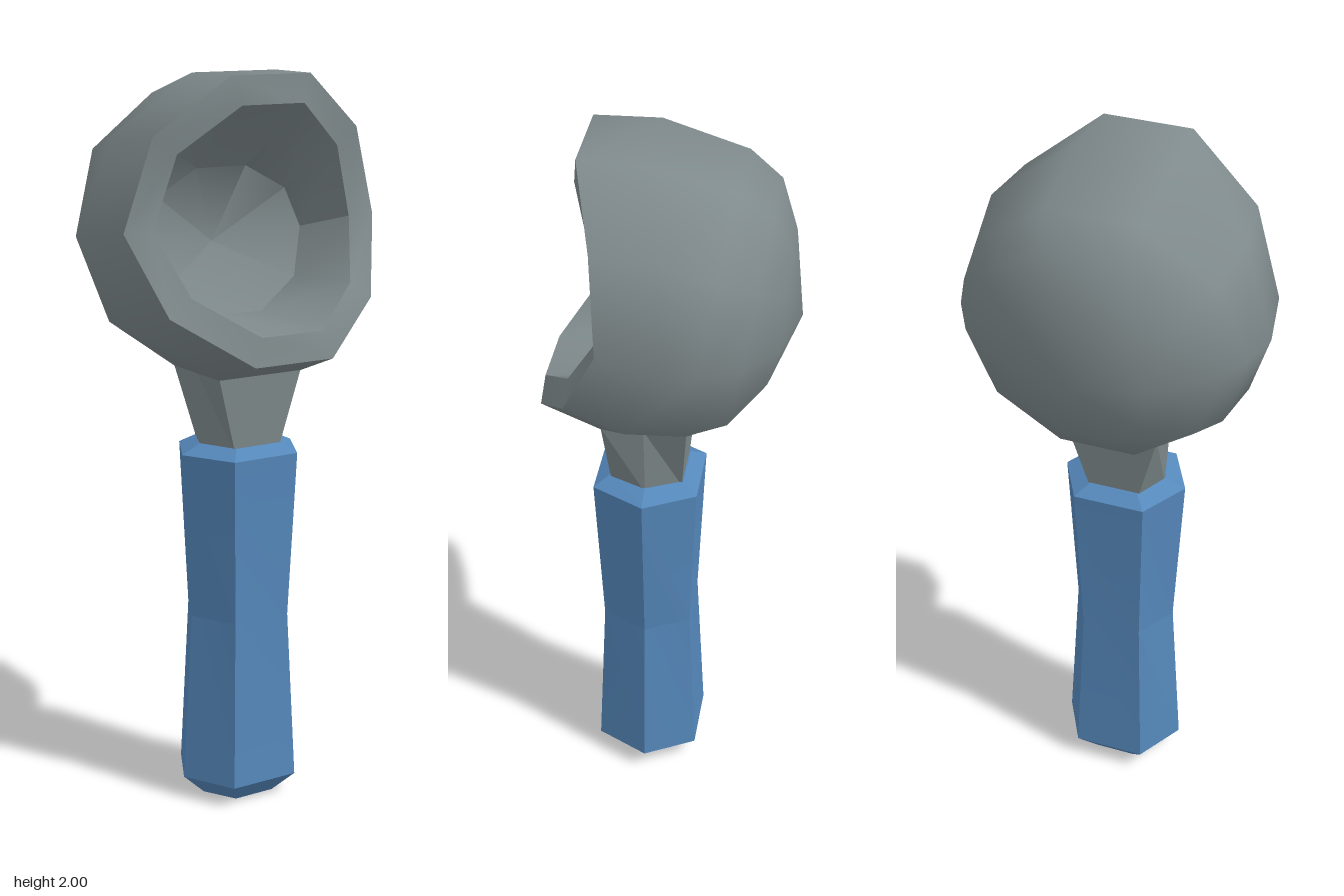
import * as THREE from 'three';
import { toCreasedNormals } from 'three/addons/utils/BufferGeometryUtils.js';

// Skin between rings of equal length; edges sharper than `crease` stay hard
function loft(rings, crease, capStart = false, capEnd = false) {
  const n = rings[0].length, idx = [];
  for (let j = 0; j < rings.length - 1; j++) {
    for (let i = 0; i < n; i++) {
      const a = j * n + i, b = j * n + (i + 1) % n, d = a + n, c = b + n;
      idx.push(a, b, d, b, c, d);
    }
  }
  const last = (rings.length - 1) * n;
  for (let i = 1; i < n - 1; i++) {
    if (capStart) idx.push(0, i + 1, i);
    if (capEnd) idx.push(last, last + i, last + i + 1);
  }
  const geo = new THREE.BufferGeometry();
  geo.setAttribute('position', new THREE.Float32BufferAttribute(rings.flat(2), 3));
  geo.setIndex(idx);
  return toCreasedNormals(geo, crease);
}

// Ten-sided bowl ring: half width, heights and depths at middle, top and bottom
function bowlRing(w, yMid, yTop, yBot, zMid, zTop, zBot, pTop = 1, pBot = 1) {
  const pts = [];
  for (let i = 0; i < 10; i++) {
    const a = i * Math.PI / 5;
    const s = Math.sin(a) / Math.sin(Math.PI * 0.4), t = Math.abs(s);
    const up = s > 0;
    pts.push([
      w * Math.cos(a),
      yMid + ((up ? yTop : yBot) - yMid) * t,
      zMid + ((up ? zTop : zBot) - zMid) * Math.pow(t, up ? pTop : pBot),
    ]);
  }
  return pts;
}
const pole = (y, z) => Array.from({ length: 10 }, () => [0, y, z]);

// Six-sided handle ring around the line z = 0.06
function hexRing(y, front, side, zFront, zBack, sideZ = 0.06) {
  return [[-front, y, zFront], [front, y, zFront], [side, y, sideZ],
    [front, y, zBack], [-front, y, zBack], [-side, y, sideZ]];
}

export function createModel() {
  const metal = new THREE.MeshStandardMaterial({ color: 0x7f8a8c });
  metal.name = 'greyMetal';
  const grip = new THREE.MeshStandardMaterial({ color: 0x5588bb });
  grip.name = 'blueGrip';

  const model = new THREE.Group();
  model.name = 'scoop';
  const add = (name, geo, mat) => {
    const mesh = new THREE.Mesh(geo, mat);
    mesh.name = name;
    model.add(mesh);
  };

  // Bowl: rounded shell, swept-back rim, hollow inside
  const rimOuter = bowlRing(0.39, 1.61, 2.0, 1.27, 0.135, 0.22, 0.335, 2.8, 1.45);
  const rimInner = bowlRing(0.307, 1.61, 1.925, 1.345, 0.14, 0.23, 0.325, 2.8, 1.45);
  add('bowlShell', loft([
    pole(1.535, -0.338),
    bowlRing(0.185, 1.545, 1.755, 1.33, -0.3, -0.31, -0.245),
    bowlRing(0.335, 1.565, 1.87, 1.24, -0.215, -0.265, -0.16),
    bowlRing(0.39, 1.575, 1.935, 1.205, -0.12, -0.18, -0.055),
    bowlRing(0.42, 1.59, 2.0, 1.21, -0.03, 0.045, 0.175, 2.8, 1.45),
    rimOuter,
  ], 1.1), metal);
  add('bowlRim', loft([rimOuter, rimInner], 0.6), metal);
  add('bowlInside', loft([
    rimInner,
    bowlRing(0.25, 1.57, 1.745, 1.36, -0.01, -0.02, 0.06),
    pole(1.54, -0.07),
  ], 0.75), metal);

  // Neck: square under the bowl, six-sided at the handle
  add('neck', loft([
    hexRing(1.0, 0.07, 0.115, 0.16, -0.035),
    hexRing(1.215, 0.13, 0.13, 0.175, -0.055),
  ], 0.1, true, true), metal);

  // Handle: waisted grip with chamfered ends
  add('handle', loft([
    hexRing(0, 0.06, 0.11, 0.15, -0.03),
    hexRing(0.06, 0.1, 0.175, 0.205, -0.08),
    hexRing(0.53, 0.085, 0.147, 0.185, -0.06),
    hexRing(0.99, 0.1, 0.175, 0.205, -0.08),
    hexRing(1.015, 0.07, 0.12, 0.165, -0.04),
  ], 0.1, true, true), grip);

  return model;
}
